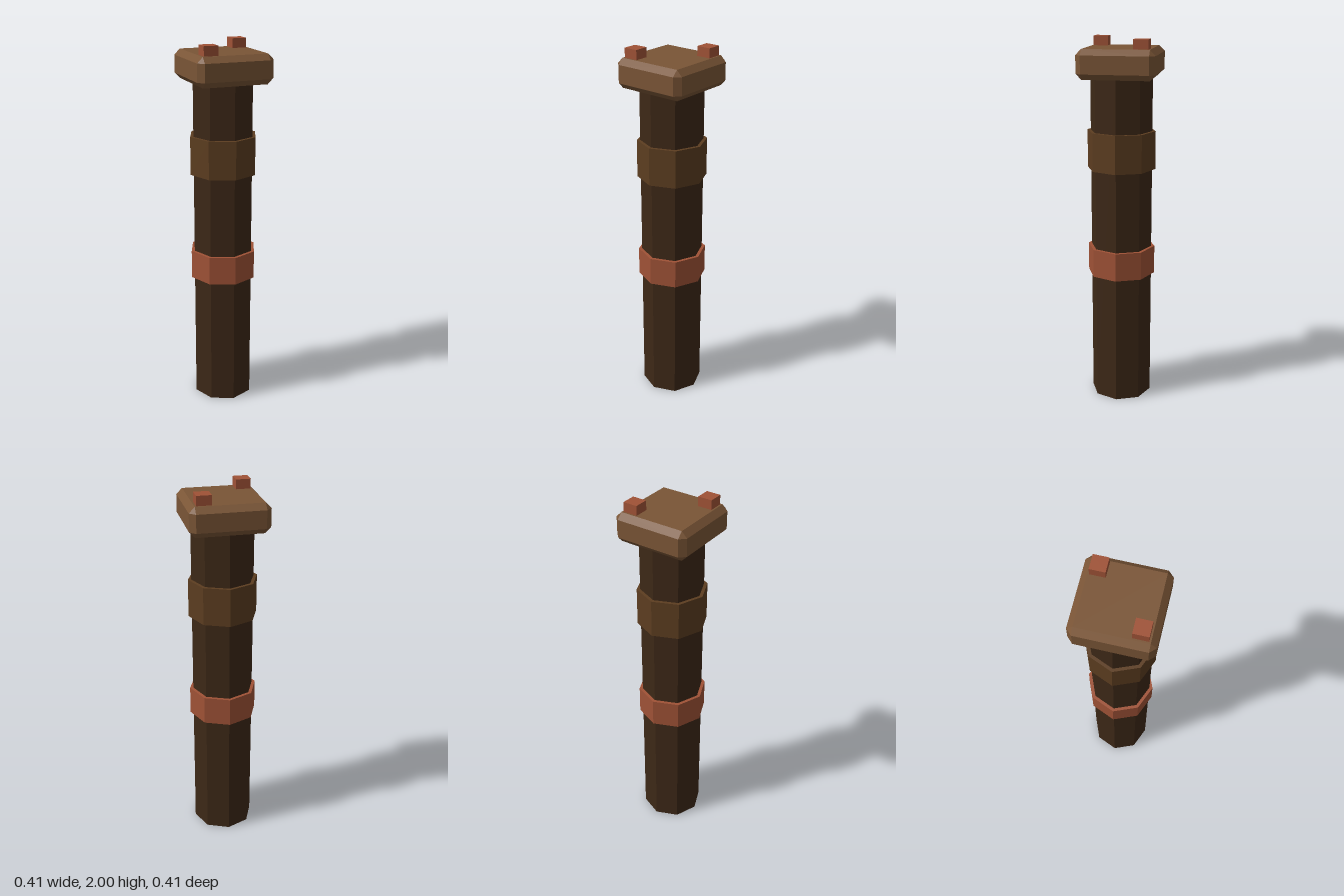
import * as THREE from 'three';
import { ConvexGeometry } from 'three/addons/geometries/ConvexGeometry.js';

const material = (color) => new THREE.MeshStandardMaterial({ color, flatShading: true });

// Box with every edge and corner cut flat: each face is inset by the bevel.
function chamferedBox(hx, hy, hz, bevel) {
  const points = [];
  for (const sx of [-1, 1]) for (const sy of [-1, 1]) for (const sz of [-1, 1]) {
    for (let axis = 0; axis < 3; axis++) {
      const inset = [hx, hy, hz].map((h, i) => (i === axis ? h : h - bevel));
      points.push(new THREE.Vector3(sx * inset[0], sy * inset[1], sz * inset[2]));
    }
  }
  return new ConvexGeometry(points);
}

export function createModel() {
  const group = new THREE.Group();
  const darkWood = material(0x3d2817);
  const bandWood = material(0x5c3d20);
  const capWood = material(0x7a5536);
  const redClay = material(0x9f5236);

  const add = (name, geometry, mat, x, y, z) => {
    const mesh = new THREE.Mesh(geometry, mat);
    mesh.name = name;
    mesh.position.set(x, y, z);
    group.add(mesh);
  };

  // Eight-sided section of the post between two heights
  const octagon = (name, radius, bottom, top, mat) =>
    add(name, new THREE.CylinderGeometry(radius, radius, top - bottom, 8), mat, 0, (bottom + top) / 2, 0);

  octagon('shaft', 0.167, 0, 1.82, darkWood);
  octagon('lowerBand', 0.185, 0.72, 0.875, redClay);
  octagon('upperBand', 0.185, 1.31, 1.515, bandWood);

  // Square cap
  add('cap', chamferedBox(0.205, 0.077, 0.205, 0.03), capWood, 0, 1.873, 0);

  // Pegs on two opposite corners of the cap
  for (const s of [-1, 1]) {
    add(s > 0 ? 'leftPeg' : 'rightPeg', new THREE.BoxGeometry(0.077, 0.077, 0.077), redClay,
      s * 0.128, 1.9615, -s * 0.128);
  }
  return group;
}
